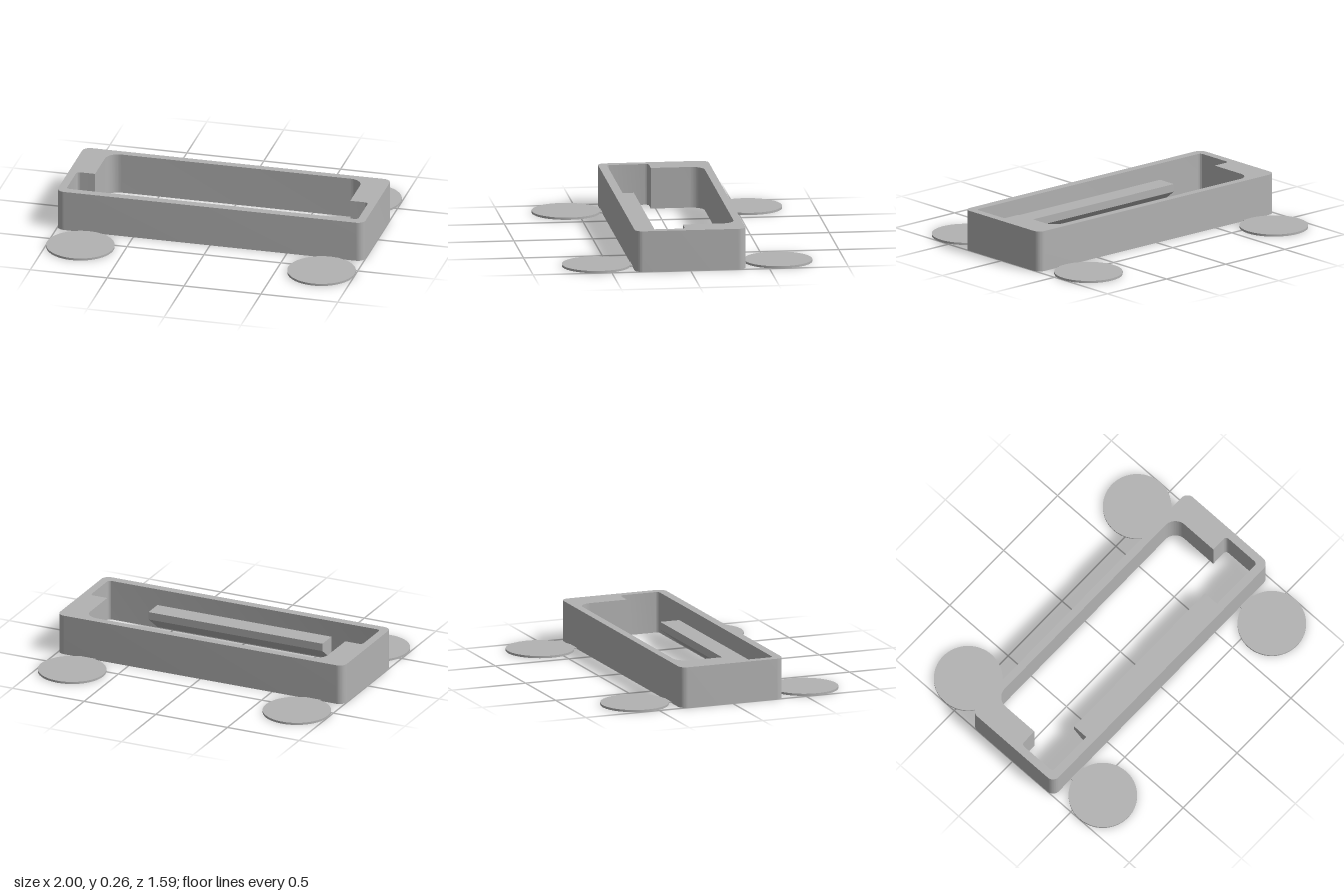
import * as THREE from 'three';
import { toCreasedNormals } from 'three/addons/utils/BufferGeometryUtils.js';

const H = 0.262;

// Closed outline from corners [x, y, radius]; a radius rounds the corner with an arc
function roundedPath(path, corners) {
  const n = corners.length;
  corners.forEach(([x, y, r], i) => {
    const p = new THREE.Vector2(x, y);
    if (!r) {
      if (i) path.lineTo(x, y); else path.moveTo(x, y);
      return;
    }
    const toward = (c) => new THREE.Vector2(c[0], c[1]).sub(p).normalize();
    const a = toward(corners[(i + n - 1) % n]);
    const b = toward(corners[(i + 1) % n]);
    const start = p.clone().addScaledVector(a, r);
    const centre = start.clone().addScaledVector(b, r);
    const a0 = Math.atan2(-b.y, -b.x), a1 = Math.atan2(-a.y, -a.x);
    if (i) path.lineTo(start.x, start.y); else path.moveTo(start.x, start.y);
    path.absarc(centre.x, centre.y, r, a0, a1, a.cross(b) > 0);
  });
  path.closePath();
  return path;
}

export function createModel() {
  const model = new THREE.Group();
  model.name = 'bracketFrame';
  const grey = new THREE.MeshStandardMaterial({ color: 0xb2b2b2 });
  grey.name = 'plain grey';

  const add = (name, geometry, x = 0, y = 0, z = 0) => {
    const mesh = new THREE.Mesh(geometry, grey);
    mesh.name = name;
    mesh.position.set(x, y, z);
    model.add(mesh);
  };

  // Frame: rounded block with a stepped opening (shape y points to the back)
  const outline = roundedPath(new THREE.Shape(), [
    [-1, -0.35, 0.05], [1, -0.35, 0.05], [1, 0.352, 0.05], [-1, 0.352, 0.05],
  ]);
  outline.holes.push(roundedPath(new THREE.Path(), [
    [-0.83, -0.03, 0], [-0.83, 0.302, 0.085], [0.83, 0.302, 0.085], [0.83, -0.03, 0],
    [0.948, -0.03, 0.022], [0.948, -0.295, 0.022],
    [-0.948, -0.295, 0.022], [-0.948, -0.03, 0.022],
  ]));
  const frame = new THREE.ExtrudeGeometry(outline, { depth: H, bevelEnabled: false, curveSegments: 10 });
  frame.rotateX(-Math.PI / 2);
  add('frame', toCreasedNormals(frame, 0.5));

  // Ledge on the inside of the front wall, with a sloped underside
  const half = 0.607;
  const profile = new THREE.Shape([
    new THREE.Vector2(-0.3, 0.002), new THREE.Vector2(-0.3, 0.155),
    new THREE.Vector2(-0.165, 0.155), new THREE.Vector2(-0.165, 0.105),
  ]);
  const ledge = new THREE.ExtrudeGeometry(profile, { depth: half * 2, bevelEnabled: false });
  ledge.rotateY(Math.PI / 2); // profile x becomes -z, depth becomes x
  add('ledge', ledge, -half);

  // Thin round pads at the corners, each joined to the frame by a small tab
  for (const sx of [-1, 1]) {
    for (const sz of [-1, 1]) {
      const side = (sz > 0 ? 'front' : 'back') + (sx > 0 ? 'Left' : 'Right');
      add(side + 'Pad', new THREE.CylinderGeometry(0.216, 0.216, 0.014, 64),
        sx * 0.784, 0.007, sz * 0.577 - 0.003);
      add(side + 'Tab', new THREE.BoxGeometry(0.11, 0.008, 0.05), sx * 0.784, 0.004, sz * 0.367);
    }
  }
  return model;
}
